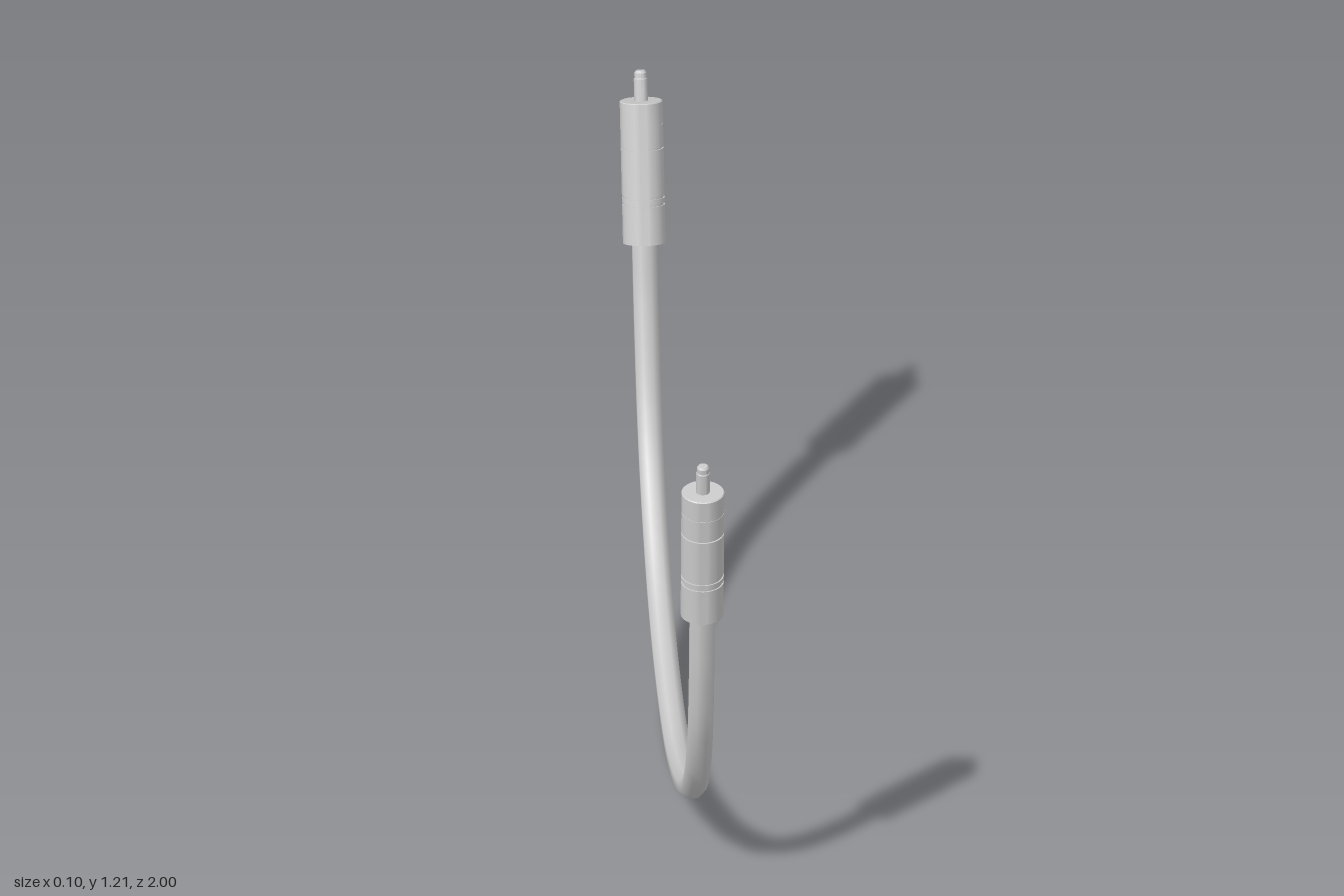
import * as THREE from 'three';
import { toCreasedNormals } from 'three/addons/utils/BufferGeometryUtils.js';
import { ParametricGeometry } from 'three/addons/geometries/ParametricGeometry.js';

const grey = new THREE.MeshStandardMaterial({ color: 0xcccccc });

function lathe(name, profile, sides) {
  const points = profile.map(([r, y]) => new THREE.Vector2(r, y));
  const mesh = new THREE.Mesh(toCreasedNormals(new THREE.LatheGeometry(points, sides), 0.5), grey);
  mesh.name = name;
  return mesh;
}

// Plug standing on its cable end, axis along +y
function createPlug(name) {
  const R = 0.05, L = 0.335;
  const profile = [[0, 0.006], [0.042, 0.006], [0.044, 0], [R, 0]];
  // grip rings, main seam and fine collar line: [height, width, depth]
  for (const [y, w, d] of [[0.093, 0.006, 0.003], [0.11, 0.006, 0.003], [0.225, 0.004, 0.004], [0.282, 0.002, 0.001]]) {
    profile.push([R, y - w / 2], [R - d, y - w / 2], [R - d, y + w / 2], [R, y + w / 2]);
  }
  profile.push([R, L - 0.002], [R - 0.002, L], [0, L]);
  const pin = [[0.016, L - 0.01], [0.016, L + 0.052], [0.0145, L + 0.054], [0.0145, L + 0.066], [0.011, L + 0.071], [0, L + 0.071]];

  const plug = new THREE.Group();
  plug.name = name;
  plug.add(lathe('plugBody', profile, 32), lathe('contactPin', pin, 16));
  return plug;
}

// Eight-sided cable swept along a curve in the y-z plane
function createCable(points) {
  const curve = new THREE.CatmullRomCurve3(points.map(([z, y]) => new THREE.Vector3(0, y, z)));
  const side = new THREE.Vector3(1, 0, 0);
  const radius = 0.031;
  const sweep = (u, v, target) => {
    const angle = (u + 1 / 16) * Math.PI * 2;
    const normal = curve.getTangentAt(v).cross(side);
    target.copy(curve.getPointAt(v))
      .addScaledVector(side, radius * Math.cos(angle))
      .addScaledVector(normal, radius * Math.sin(angle));
  };
  const mesh = new THREE.Mesh(new ParametricGeometry(sweep, 8, 64), grey);
  mesh.name = 'cable';
  return mesh;
}

export function createModel() {
  const model = new THREE.Group();
  model.name = 'patchCable';

  // Hanging cable, [z, y] from the front plug to the back plug
  model.add(createCable([
    [0.927, 0.81], [0.922, 0.74], [0.907, 0.6], [0.872, 0.45], [0.8, 0.315], [0.7, 0.222],
    [0.6, 0.16], [0.4, 0.08], [0.2, 0.036], [0.11, 0.03], [0, 0.036], [-0.2, 0.073],
    [-0.4, 0.158], [-0.6, 0.32], [-0.7, 0.455], [-0.8, 0.68], [-0.852, 0.84],
  ]));

  // Plugs: name, cable end [z, y], outer end [z, y]
  const plugs = [
    ['frontPlug', [0.926, 0.787], [0.952, 1.121]],
    ['backPlug', [-0.848, 0.82], [-0.95, 1.139]],
  ];
  for (const [name, [z0, y0], [z1, y1]] of plugs) {
    const plug = createPlug(name);
    plug.position.set(0, y0, z0);
    plug.rotation.x = Math.atan2(z1 - z0, y1 - y0);
    model.add(plug);
  }
  return model;
}
